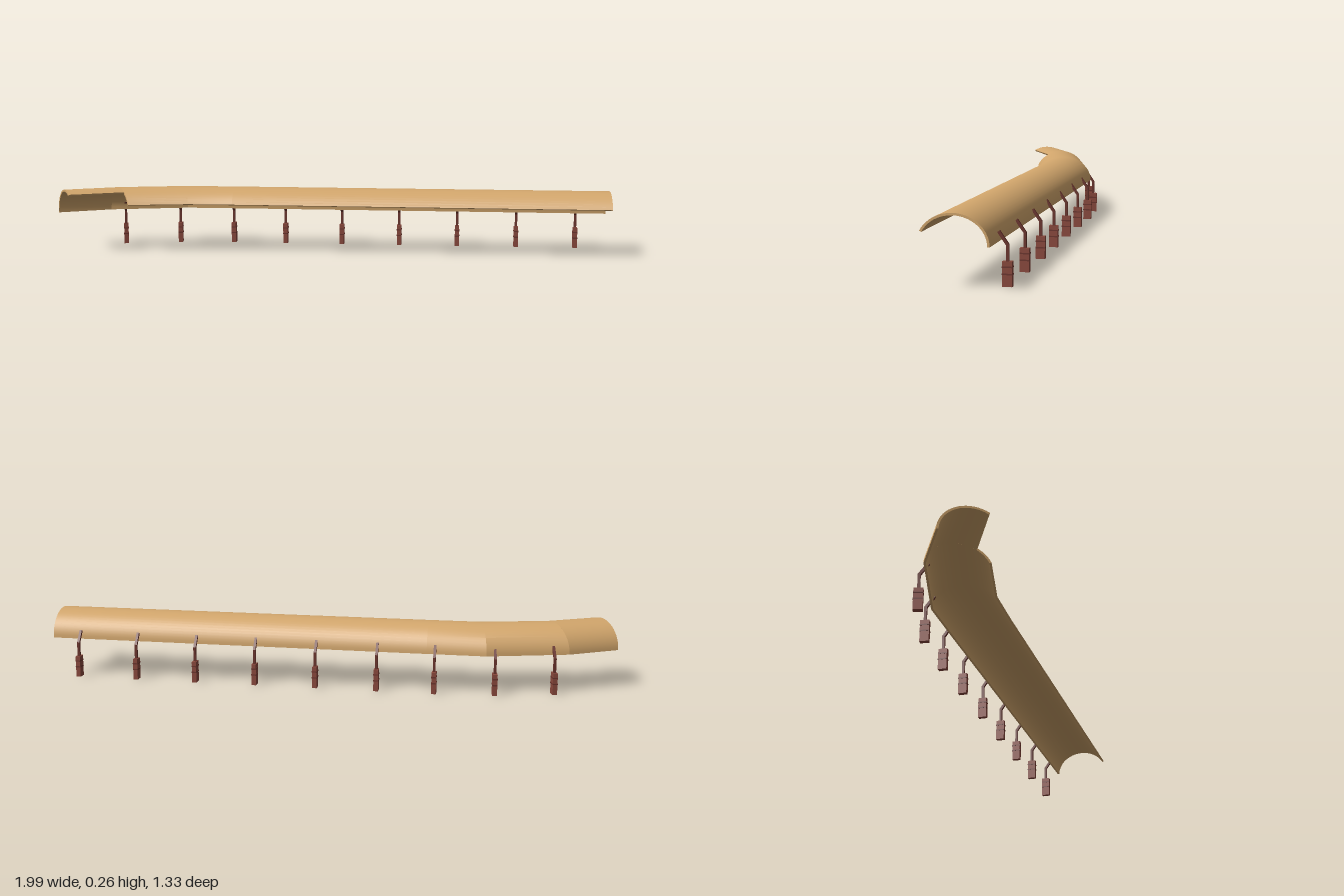
import * as THREE from 'three';
import { toCreasedNormals } from 'three/addons/utils/BufferGeometryUtils.js';

const A = 0.12, B = 0.107, BASE = 0.15, THICK = 0.008, WIDTH = 0.229;

// Curved shell: an elliptical arc (0..arcDeg, back edge to front) joined through mitred stations.
// Each station is [back x, back z, front x, front z], the front at full arc width.
function shell(stations, arcDeg, segs) {
  const profile = [];
  const arc = (i, t) => {
    const a = THREE.MathUtils.degToRad(arcDeg) * i / segs;
    profile.push([A - (A - t) * Math.cos(a), BASE + (B - t) * Math.sin(a)]);
  };
  for (let i = 0; i <= segs; i++) arc(i, 0);
  for (let i = segs; i >= 0; i--) arc(i, THICK);
  const n = profile.length, pos = [], idx = [];
  for (const [bx, bz, fx, fz] of stations)
    for (const [u, y] of profile)
      pos.push(bx + (fx - bx) * u / WIDTH, y, bz + (fz - bz) * u / WIDTH);
  for (let s = 0; s < stations.length - 1; s++)
    for (let j = 0; j < n; j++) {
      const a = s * n + j, b = s * n + (j + 1) % n;
      idx.push(a, b, b + n, a, b + n, a + n);
    }
  // end caps
  const last = (stations.length - 1) * n;
  for (let j = 0; j < segs; j++) {
    const o = j, p = j + 1, i = n - 1 - j, k = n - 2 - j;
    idx.push(o, i, p, p, i, k);
    idx.push(last + o, last + p, last + i, last + p, last + k, last + i);
  }
  const g = new THREE.BufferGeometry();
  g.setAttribute('position', new THREE.Float32BufferAttribute(pos, 3));
  g.setIndex(idx);
  return toCreasedNormals(g, 0.2);
}

export function createModel() {
  const root = new THREE.Group();
  const roofMat = new THREE.MeshStandardMaterial({ color: 0xd2a66c });
  const redMat = new THREE.MeshStandardMaterial({ color: 0x8a483c });
  const darkMat = new THREE.MeshStandardMaterial({ color: 0x6b342c });
  const add = (parent, name, geo, mat, x = 0, y = 0, z = 0) => {
    const m = new THREE.Mesh(geo, mat);
    m.name = name;
    m.position.set(x, y, z);
    parent.add(m);
    return m;
  };

  // Long canopy with bends, and a narrower stretch at the far end
  const joint = [-0.77, -0.655, -0.773, -0.415];
  add(root, 'canopy', shell([
    joint,
    [-0.46, -0.55, -0.55, -0.325],
    [-0.27, -0.419, -0.397, -0.222],
    [0.992, 0.467, 0.86, 0.661],
  ], 155, 24), roofMat);
  add(root, 'canopyEnd', shell([
    [-0.992, -0.668, -1.0, -0.441],
    joint,
  ], 120, 18), roofMat);

  // Row of hanging weights along the back edge: [x, z, heading in degrees]
  const spots = [
    [-0.705, -0.653, 19], [-0.485, -0.575, 27], [-0.285, -0.455, 34],
    [-0.1, -0.325, 35], [0.1, -0.185, 35], [0.302, -0.045, 35],
    [0.505, 0.093, 35], [0.708, 0.235, 35], [0.91, 0.375, 35],
  ];
  const bodyGeo = new THREE.BoxGeometry(0.018, 0.085, 0.034);
  const bandGeo = new THREE.BoxGeometry(0.02, 0.005, 0.036);
  const stemGeo = new THREE.BoxGeometry(0.01, 0.058, 0.01);
  const armGeo = new THREE.BoxGeometry(0.01, 0.054, 0.01);
  for (const [x, z, deg] of spots) {
    const hanger = new THREE.Group();
    hanger.name = 'hanger';
    hanger.position.set(x, 0, z);
    hanger.rotation.y = -THREE.MathUtils.degToRad(deg);
    add(hanger, 'hangerBody', bodyGeo, redMat, 0, 0.0425, 0);
    for (const y of [0.042, 0.066]) add(hanger, 'hangerBand', bandGeo, darkMat, 0, y, 0);
    add(hanger, 'hangerStem', stemGeo, darkMat, 0, 0.113, 0);
    // slanted arm reaching to the canopy wall
    add(hanger, 'hangerArm', armGeo, darkMat, 0, 0.161, 0.015).rotation.x = 0.61;
    root.add(hanger);
  }
  return root;
}
